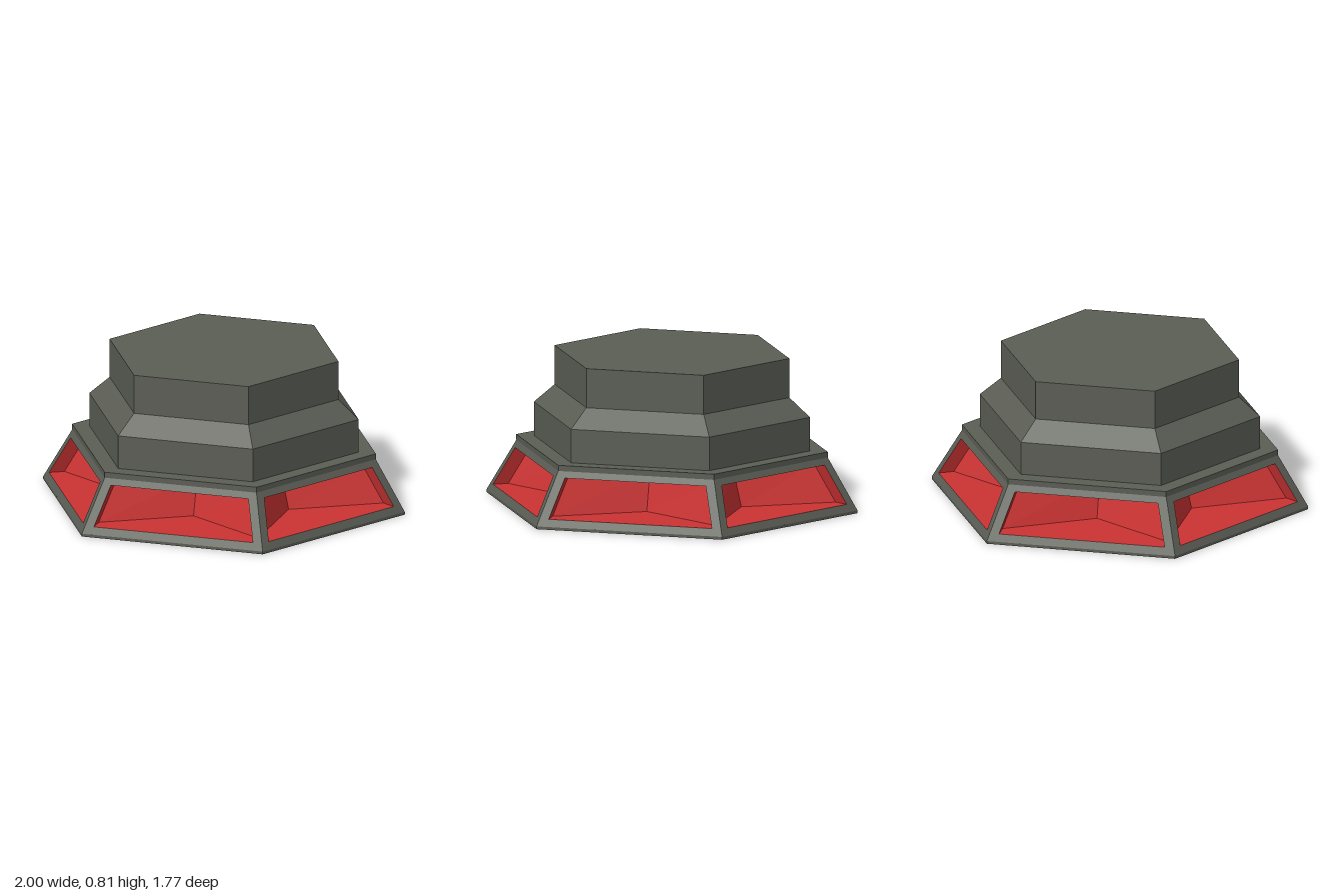
import * as THREE from 'three';
import { mergeGeometries } from 'three/addons/utils/BufferGeometryUtils.js';

const Z_STRETCH = 1.02; // the hexagon is slightly deeper than regular

const stretch = (geometry) => {
  const g = geometry.index ? geometry.toNonIndexed() : geometry;
  g.scale(1, 1, Z_STRETCH);
  g.computeVertexNormals();
  return g;
};

// Flat polygons, corners counter-clockwise from the visible side, as triangle fans
function polygons(list) {
  const pos = [];
  for (const p of list) {
    for (let i = 1; i < p.length - 1; i++) pos.push(...p[0], ...p[i], ...p[i + 1]);
  }
  const g = new THREE.BufferGeometry();
  g.setAttribute('position', new THREE.Float32BufferAttribute(pos, 3));
  return g;
}

// Repeat one side of the hexagon six times
function aroundHexagon(list) {
  const sides = [];
  for (let k = 0; k < 6; k++) sides.push(polygons(list).rotateY(k * Math.PI / 3));
  return stretch(mergeGeometries(sides));
}

// Six-sided block with corners on the x axis
function hexBlock(bottomRadius, topRadius, y0, y1) {
  const g = new THREE.CylinderGeometry(topRadius, bottomRadius, y1 - y0, 6, 1, false, Math.PI / 2);
  g.translate(0, (y0 + y1) / 2, 0);
  return stretch(g);
}

export function createModel() {
  const model = new THREE.Group();
  const grey = new THREE.MeshStandardMaterial({ color: 0x5b5e55 });
  grey.name = 'dark grey';
  const red = new THREE.MeshStandardMaterial({ color: 0xcc3333 });
  red.name = 'red';

  const add = (name, geometry, material) => {
    const mesh = new THREE.Mesh(geometry, material);
    mesh.name = name;
    model.add(mesh);
  };

  // Stacked hexagonal tiers
  add('basePlate', hexBlock(1, 1, 0, 0.015), grey);
  add('baseRim', hexBlock(0.84, 0.84, 0.29, 0.32), grey);
  add('lowerTier', hexBlock(0.745, 0.745, 0.32, 0.5), grey);
  add('tierShoulder', hexBlock(0.745, 0.633, 0.5, 0.6), grey);
  add('upperTier', hexBlock(0.633, 0.633, 0.6, 0.81), grey);

  // Sloped frame around each opening
  const outer = [[-0.5, 0.015, 0.866], [0.5, 0.015, 0.866], [0.42, 0.29, 0.727], [-0.42, 0.29, 0.727]];
  const inner = [[-0.44, 0.053, 0.847], [0.44, 0.053, 0.847], [0.38, 0.257, 0.744], [-0.38, 0.257, 0.744]];
  const frame = outer.map((p, i) => {
    const j = (i + 1) % 4;
    return [p, outer[j], inner[j], inner[i]];
  });
  add('windowFrames', aroundHexagon(frame), grey);

  // Recess behind each opening: short jambs, then two walls meeting in a V
  const plan = (y, w, front, back, apex) =>
    [[-w, y, front], [-w, y, back], [0, y, apex], [w, y, back], [w, y, front]];
  const floor = plan(0.053, 0.44, 0.847, 0.765, 0.51);
  const ceiling = plan(0.257, 0.38, 0.744, 0.662, 0.447);
  const walls = [];
  for (let i = 0; i < 4; i++) walls.push([floor[i], floor[i + 1], ceiling[i + 1], ceiling[i]]);
  add('recessWalls', aroundHexagon(walls), red);
  add('recessFloors', aroundHexagon([[...floor].reverse()]), red);
  add('recessCeilings', aroundHexagon([ceiling]), grey);

  return model;
}
